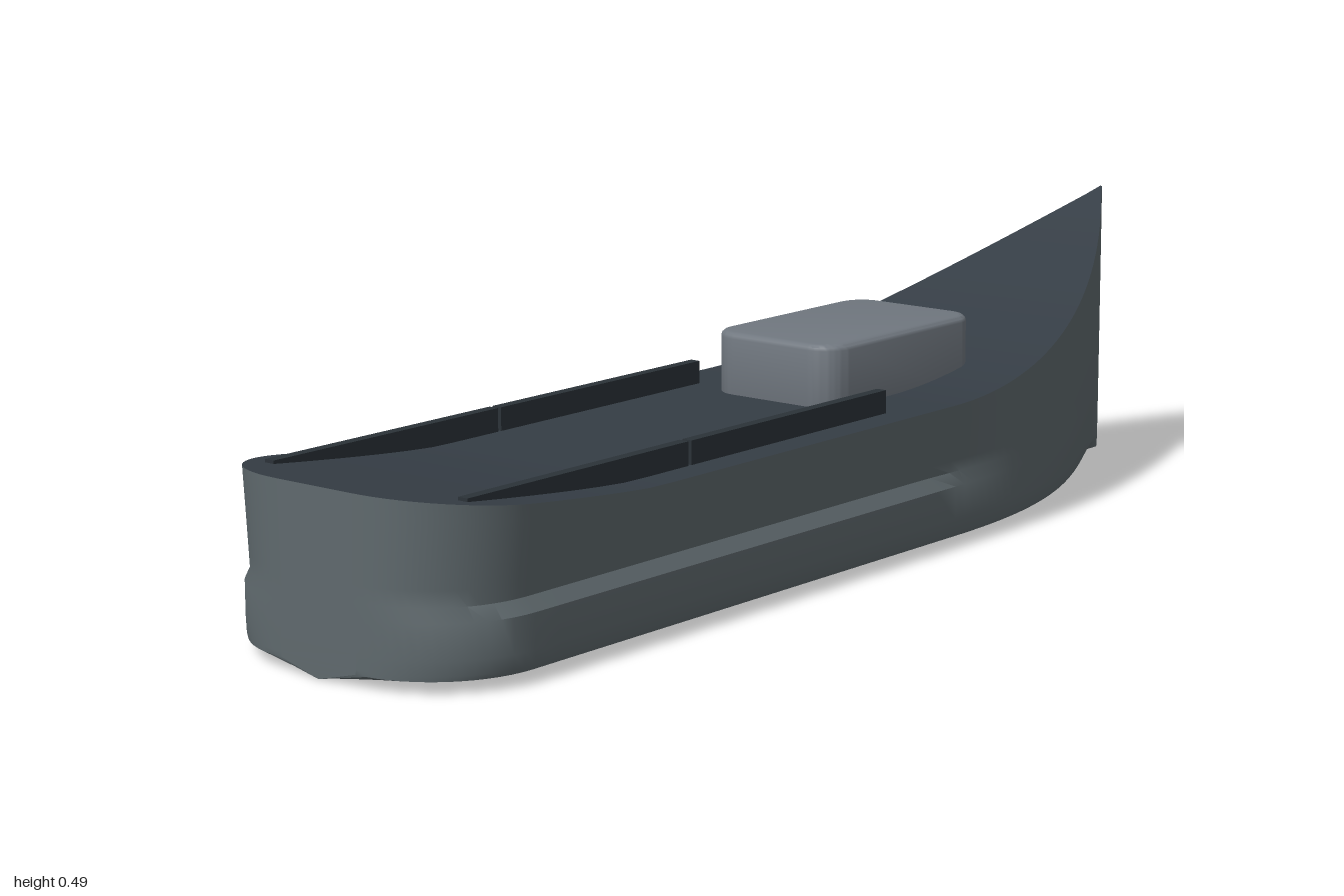
import * as THREE from 'three';
import { toCreasedNormals } from 'three/addons/utils/BufferGeometryUtils.js';

const mat = (name, color) => Object.assign(new THREE.MeshStandardMaterial({ color }), { name });
const clamp = THREE.MathUtils.clamp;

// Surface swept over a grid of points; it faces along du x dv
function gridSurface(nu, nv, pointAt, crease = 0.5) {
  const pos = [], index = [];
  for (let i = 0; i < nu; i++) for (let j = 0; j < nv; j++) pos.push(...pointAt(i, j));
  for (let i = 0; i < nu - 1; i++) for (let j = 0; j < nv - 1; j++) {
    const a = i * nv + j, b = a + nv;
    index.push(a, b, a + 1, b, b + 1, a + 1);
  }
  const g = new THREE.BufferGeometry();
  g.setAttribute('position', new THREE.Float32BufferAttribute(pos, 3));
  g.setIndex(index);
  return toCreasedNormals(g, crease);
}

// Hull lines
const bowT = x => clamp((x - 0.2) / 0.8, 0, 1);
function halfWidth(x) {
  if (x < -0.82) return 0.076 + Math.sqrt(Math.max(0, 0.18 ** 2 - (x + 0.82) ** 2)) / 0.18 * 0.18;
  return Math.max(0.002, 0.256 * (1 - bowT(x) ** 2.2));
}
function sheer(x) {
  const aft = clamp((-0.55 - x) / 0.45, 0, 1);
  return 0.24 + 0.245 * bowT(x) ** 1.9 + 0.045 * aft ** 1.25;
}

// Half section from keel to sheer, as [z, y]
function halfSection(x) {
  const w = halfWidth(x), top = sheer(x), t = bowT(x);
  const belt = 1 - THREE.MathUtils.smoothstep(x, 0.1, 0.45);
  const hollow = y => 1 - 0.45 * t ** 3 * (1 - y / top) ** 3;
  const pts = [[0, 0], [0.5, 0.01], [0.985, 0.02], [1, 0.028], [1.006, 0.05], [1.006, 0.105],
    [1 - 0.055 * belt, 0.126]];
  for (let k = 1; k <= 6; k++) {
    pts.push([1 - 0.055 * belt * (1 - k / 6), 0.126 + (top - 0.126) * k / 6]);
  }
  return pts.map(([f, y]) => [f * w * hollow(y), y]);
}

export function createModel() {
  const group = new THREE.Group();
  const hullMat = mat('hull grey', 0x5f696d);
  const deckMat = mat('deck slate', 0x353d45);
  const cabinMat = mat('cabin grey', 0x70777f);
  const railMat = mat('rail charcoal', 0x2b3238);
  const add = (name, geometry, material) => {
    const m = new THREE.Mesh(geometry, material);
    m.name = name;
    group.add(m);
    return m;
  };

  // Stations: rounded stern, straight midship, tapering bow
  const xs = [];
  for (let i = 0; i < 14; i++) xs.push(-0.82 - 0.18 * Math.cos(i / 14 * Math.PI / 2));
  for (let i = 0; i <= 20; i++) xs.push(-0.82 + 1.02 * i / 20);
  for (let i = 1; i <= 32; i++) xs.push(0.2 + 0.8 * i / 32);
  const halves = xs.map(halfSection);
  const n = halves[0].length, last = xs.length - 1;

  add('hull', gridSurface(xs.length, 2 * n - 1, (i, j) => {
    const k = Math.abs(j - (n - 1)), [z, y] = halves[i][k];
    return [xs[i], y, j < n - 1 ? -z : z];
  }, 0.6), hullMat);

  // Flat ends closing the stern and stem
  add('transom', gridSurface(n, 2, (i, j) => {
    const [z, y] = halves[0][i];
    return [xs[0], y, j ? -z : z];
  }), hullMat);
  add('stem', gridSurface(n, 2, (i, j) => {
    const [z, y] = halves[last][i];
    return [xs[last], y, j ? z : -z];
  }), hullMat);

  // Deck follows the sheer
  add('deck', gridSurface(xs.length, 2, (i, j) => {
    const [z, y] = halves[i][n - 1];
    return [xs[i], y, j ? -z : z];
  }), deckMat);

  // Cabin block with rounded corners and softened top edge
  const w = 0.19, d = 0.117, r = 0.04;
  const s = new THREE.Shape();
  s.moveTo(-w + r, -d);
  s.lineTo(w - r, -d);
  s.absarc(w - r, -d + r, r, -Math.PI / 2, 0);
  s.absarc(w - r, d - r, r, 0, Math.PI / 2);
  s.absarc(-w + r, d - r, r, Math.PI / 2, Math.PI);
  s.absarc(-w + r, -d + r, r, Math.PI, Math.PI * 1.5);
  const cabinGeo = new THREE.ExtrudeGeometry(s, {
    depth: 0.12, bevelThickness: 0.01, bevelSize: 0.012, bevelSegments: 3, curveSegments: 8,
  });
  cabinGeo.rotateX(-Math.PI / 2);
  add('cabin', toCreasedNormals(cabinGeo, 0.6), cabinMat).position.set(0.243, 0.213, -0.005);

  // Two low rails on each side
  for (const side of [-1, 1]) {
    for (const [x0, x1] of [[-0.9, -0.415], [-0.408, 0.08]]) {
      add(side > 0 ? 'rightRail' : 'leftRail', new THREE.BoxGeometry(x1 - x0, 0.05, 0.018), railMat)
        .position.set((x0 + x1) / 2, 0.253, side * 0.195);
    }
  }
  return group;
}
